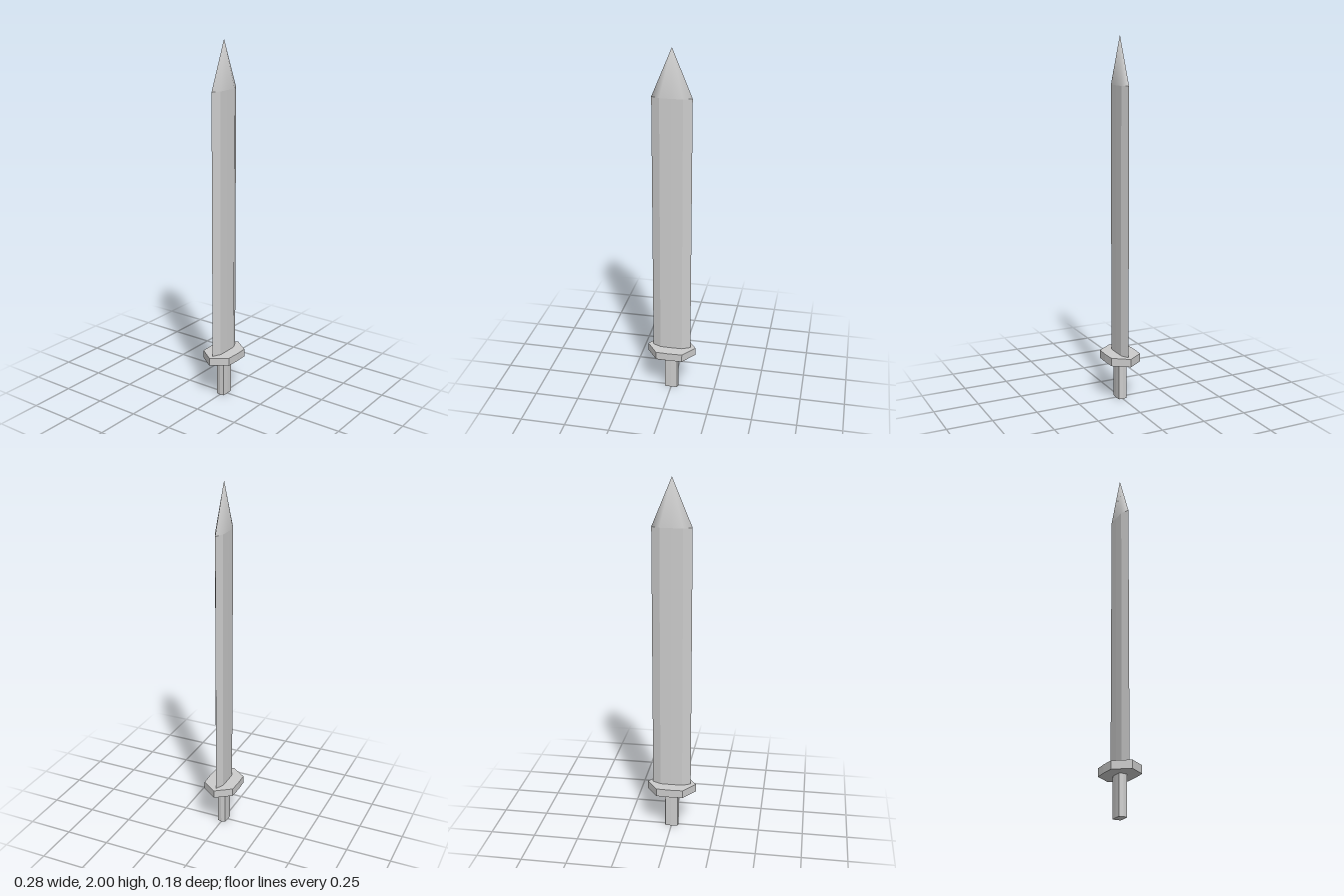
import * as THREE from 'three';

const flat = new THREE.MeshStandardMaterial({ color: 0xcccccc, flatShading: true });
const smooth = new THREE.MeshStandardMaterial({ color: 0xcccccc });

// Eight-sided outline: pointed at both sides, with a slight ridge front and back
function outline(tipX, shoulderX, shoulderZ, ridgeZ) {
  return [
    [tipX, 0], [shoulderX, shoulderZ], [0, ridgeZ], [-shoulderX, shoulderZ],
    [-tipX, 0], [-shoulderX, -shoulderZ], [0, -ridgeZ], [shoulderX, -shoulderZ],
  ];
}

// Upright prism over an outline
function prism(name, points, bottom, top) {
  const shape = new THREE.Shape(points.map(([x, z]) => new THREE.Vector2(x, z)));
  const geometry = new THREE.ExtrudeGeometry(shape, { depth: top - bottom, bevelEnabled: false });
  geometry.rotateX(-Math.PI / 2).translate(0, bottom, 0);
  const mesh = new THREE.Mesh(geometry, flat);
  mesh.name = name;
  return mesh;
}

// Smooth-shaded point rising from an outline to a shared apex
function point(name, points, bottom, top) {
  const positions = points.flatMap(([x, z]) => [x, bottom, z]);
  positions.push(0, top, 0);
  const n = points.length;
  const index = [];
  for (let i = 0; i < n; i++) index.push((i + 1) % n, i, n);
  const geometry = new THREE.BufferGeometry();
  geometry.setAttribute('position', new THREE.Float32BufferAttribute(positions, 3));
  geometry.setIndex(index);
  geometry.computeVertexNormals();
  const mesh = new THREE.Mesh(geometry, smooth);
  mesh.name = name;
  return mesh;
}

export function createModel() {
  const sword = new THREE.Group();
  sword.name = 'sword';
  const bladeOutline = outline(0.108, 0.062, 0.0225, 0.0235);
  sword.add(
    prism('grip', outline(0.04, 0.035, 0.023, 0.025), 0, 0.22),
    prism('guard', outline(0.138, 0.075, 0.088, 0.091), 0.22, 0.265),
    prism('blade', bladeOutline, 0.265, 1.74),
    point('bladeTip', bladeOutline, 1.74, 2),
  );
  return sword;
}
